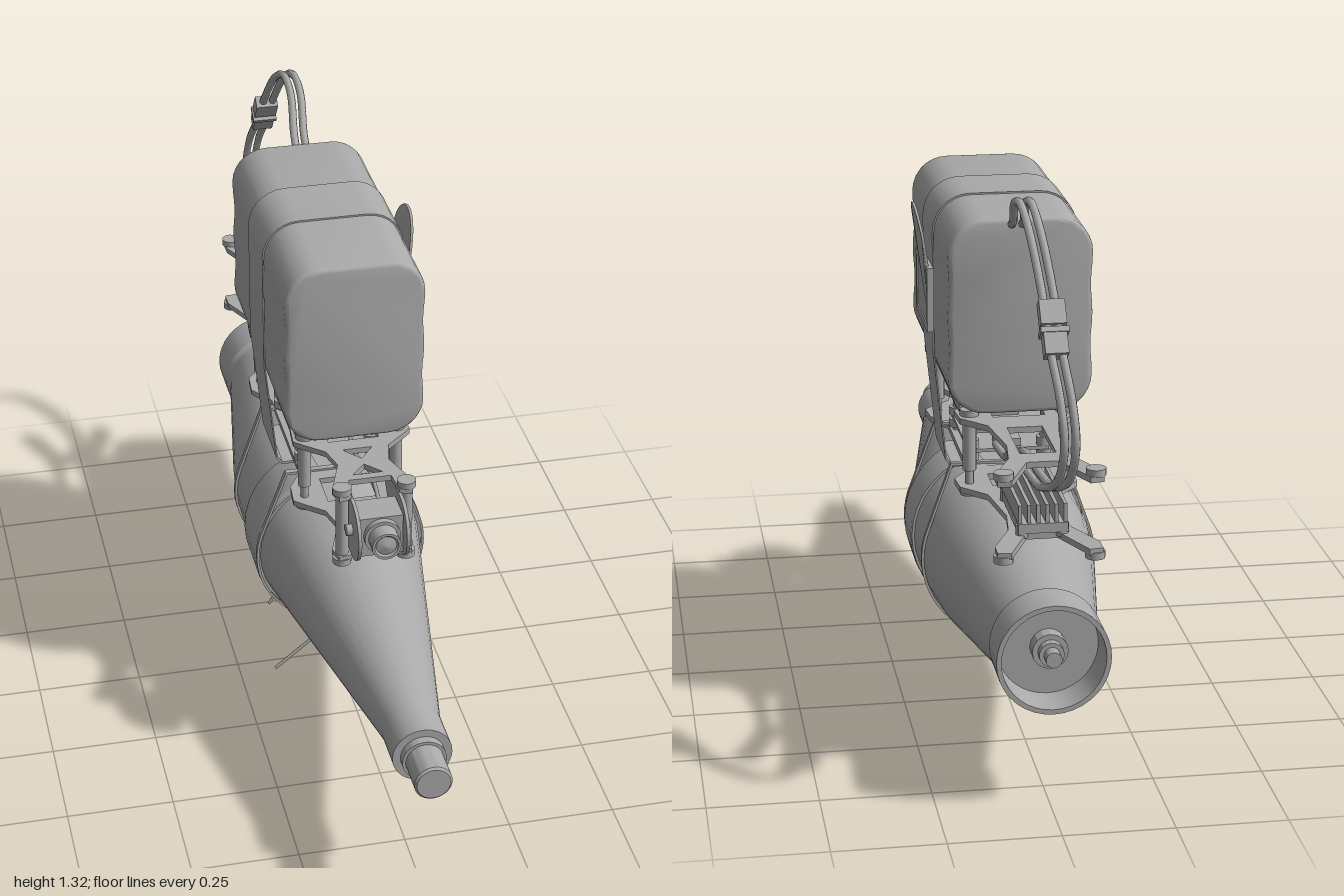
import * as THREE from 'three';
import { toCreasedNormals } from 'three/addons/utils/BufferGeometryUtils.js';

const V2 = (x, y) => new THREE.Vector2(x, y);

export function createModel() {
  const root = new THREE.Group();
  const grey = new THREE.MeshStandardMaterial({ color: 0xaaaaaa });
  grey.name = 'plain grey';

  const add = (name, geo, x = 0, y = 0, z = 0) => {
    const m = new THREE.Mesh(geo, grey);
    m.name = name;
    m.position.set(x, y, z);
    root.add(m);
    return m;
  };
  const box = (name, w, h, d, x, y, z) => add(name, new THREE.BoxGeometry(w, h, d), x, y, z);
  const post = (name, r, y0, y1, x, z, n = 12) =>
    add(name, new THREE.CylinderGeometry(r, r, y1 - y0, n), x, (y0 + y1) / 2, z);
  const lathe = (name, pts, n, y) =>
    add(name, toCreasedNormals(new THREE.LatheGeometry(pts.map(([z, r]) => V2(r, z)), n).rotateX(Math.PI / 2), 0.35), 0, y, 0);
  const tube = (name, pts, r, n = 60) => {
    const curve = new THREE.CatmullRomCurve3(pts.map(p => new THREE.Vector3(...p)));
    return add(name, new THREE.TubeGeometry(curve, n, r, 8));
  };
  // closed band around an outline in the xy plane
  const ring = (name, pts, cy, k, z, width) => {
    const shape = new THREE.Shape(pts.map(p => V2(...p)));
    shape.holes.push(new THREE.Path(pts.map(([x, y]) => V2(x * k, cy + (y - cy) * k))));
    const g = new THREE.ExtrudeGeometry(shape, { depth: width, bevelEnabled: false });
    return add(name, toCreasedNormals(g, 0.5), 0, 0, z);
  };
  const arc = (cx, cy, r, a0, a1, n) => Array.from({ length: n + 1 }, (_, i) => {
    const a = a0 + (a1 - a0) * i / n;
    return [cx + r * Math.cos(a), cy + r * Math.sin(a)];
  });

  // long tapered body with an open cup at the back
  lathe('taperedBody', [
    [-0.80, 0], [-0.80, 0.112], [-0.885, 0.115], [-0.885, 0.126], [-0.78, 0.126], [-0.765, 0.119],
    [-0.745, 0.122], [-0.34, 0.19], [-0.24, 0.2], [-0.09, 0.203], [-0.09, 0.209], [-0.08, 0.211],
    [0.04, 0.211], [0.055, 0.205], [0.055, 0.198], [0.79, 0.068], [0.895, 0.068], [0.895, 0.05],
    [0.915, 0.05], [0.915, 0.043], [0.995, 0.043], [1, 0.038], [1, 0]], 36, 0.36);
  lathe('rearFitting', [[-0.885, 0], [-0.885, 0.018], [-0.855, 0.018], [-0.855, 0.028], [-0.835, 0.028],
    [-0.835, 0.04], [-0.79, 0.04]], 16, 0.36);

  // frame plates, drawn as half outlines (x, z) and mirrored
  const half = [[0.05, 0.37], [0.055, 0.43], [0.085, 0.435], [0.095, 0.40], [0.06, 0.3], [0.075, 0.24], [0.12, 0.2],
    [0.14, 0.18], [0.135, 0.12], [0.1, 0.06], [0.1, -0.28], [0.14, -0.34], [0.135, -0.4], [0.08, -0.46],
    [0.06, -0.6], [0.07, -0.69], [0.115, -0.79], [0.115, -0.83], [0.085, -0.835], [0.035, -0.72]];
  const outline = [...half, ...half.slice().reverse().map(([x, z]) => [-x, z])];
  const holes = [
    [[-0.035, 0.35], [0.035, 0.35], [0, 0.31]], [[-0.035, 0.24], [0.035, 0.24], [0, 0.285]],
    [[-0.06, 0.2], [0.06, 0.2], [0.06, 0.1], [-0.06, 0.1]],
    [[-0.05, 0.05], [0.05, 0.05], [0.065, -0.07], [-0.065, -0.07]],
    [[-0.065, -0.12], [0.065, -0.12], [0.05, -0.26], [-0.05, -0.26]],
    [[-0.06, -0.32], [0.06, -0.32], [0.06, -0.4], [-0.06, -0.4]],
    [[-0.04, -0.48], [0.04, -0.48], [0.04, -0.66], [-0.04, -0.66]]];
  [['lowerPlate', 0.578], ['upperPlate', 0.742]].forEach(([name, y]) => {
    const s = new THREE.Shape(outline.map(([x, z]) => V2(x, -z)));
    s.holes = holes.map(h => new THREE.Path(h.map(([x, z]) => V2(x, -z))));
    add(name, new THREE.ExtrudeGeometry(s, { depth: 0.014, bevelEnabled: false }).rotateX(-Math.PI / 2), 0, y);
  });

  // standoffs, bolts and side plates, mirrored
  for (const s of [-1, 1]) {
    post('frontStandoff', 0.015, 0.59, 0.745, s * 0.075, 0.415);
    for (const z of [0.165, -0.375]) {
      post('middleStandoff', 0.016, 0.625, 0.745, s * 0.11, z);
      post('middleStandoffFoot', 0.01, 0.57, 0.63, s * 0.11, z);
    }
    for (const [x, z] of [[0.075, 0.415], [0.11, 0.165], [0.11, -0.375], [0.1, -0.815]])
      for (const y of [0.566, 0.754]) post('boltHead', 0.022, y, y + 0.016, s * x, z);
    for (const z of [0.015, -0.235]) {
      post('boardBolt', 0.009, 0.57, 0.71, s * 0.085, z);
      for (const y of [0.6, 0.63, 0.675]) post('boardGrommet', 0.018, y, y + 0.02, s * 0.085, z);
    }
    for (const z of [-0.5, -0.72]) post('heatSinkBolt', 0.014, 0.585, 0.615, s * 0.045, z);

    // camera side plate
    const plate = new THREE.Shape([...arc(-0.45, 0.675, 0.072, Math.PI * 1.5, Math.PI * 0.5, 14), [-0.3, 0.742], [-0.3, 0.7], [-0.39, 0.604]]
      .map(([z, y]) => V2(z, y)));
    add('cameraSidePlate', new THREE.ExtrudeGeometry(plate, { depth: 0.008, bevelEnabled: false })
      .rotateY(Math.PI / 2), s * 0.056 - 0.004, 0, 0);
    const bolt = add('cameraBolt', new THREE.CylinderGeometry(0.014, 0.014, 0.02, 10), s * 0.064, 0.675, 0.45);
    bolt.rotation.z = Math.PI / 2;
  }

  // camera
  box('cameraBody', 0.1, 0.1, 0.08, 0, 0.675, 0.45);
  lathe('cameraLens', [[0.48, 0.042], [0.505, 0.042], [0.505, 0.034], [0.543, 0.034], [0.543, 0.028], [0.538, 0.024], [0.545, 0]], 20, 0.68);

  // circuit boards
  box('lowerBoard', 0.19, 0.008, 0.28, 0, 0.625, -0.11);
  box('upperBoard', 0.19, 0.008, 0.28, 0, 0.672, -0.11);
  box('boardChip', 0.08, 0.02, 0.08, 0, 0.686, -0.11);
  box('boardSocket', 0.06, 0.018, 0.05, 0, 0.64, -0.22);

  // finned heat sink
  box('heatSinkBase', 0.11, 0.022, 0.26, 0, 0.608, -0.605);
  for (let i = 0; i < 6; i++) box('heatSinkFin', 0.008, 0.045, 0.25, -0.05 + i * 0.02, 0.638, -0.605);

  // pads between body, frame and battery
  box('bodyMountPad', 0.16, 0.03, 0.3, 0, 0.564, -0.1);
  box('batteryPad', 0.26, 0.022, 0.5, 0, 0.765, -0.1);

  // battery with slightly wavy sides
  const corner = 0.075, cx = 0.155 - corner, top = 1.213 - corner, bottom = 0.78 + corner;
  const wave = Array.from({ length: 13 }, (_, i) => {
    const t = i / 12;
    return [0.155 - 0.004 * (1 - Math.cos(t * Math.PI * 4)) / 2, bottom + (top - bottom) * t];
  });
  const right = [...arc(cx, bottom, corner, -Math.PI / 2, 0, 7).slice(0, -1), ...wave,
    ...arc(cx, top, corner, 0, Math.PI / 2, 7).slice(1)];
  const pack = [...right, ...right.slice().reverse().map(([x, y]) => [-x, y])];
  const packGeo = new THREE.ExtrudeGeometry(new THREE.Shape(pack.map(p => V2(...p))),
    { depth: 0.62, bevelThickness: 0.012, bevelSize: 0.009, bevelSegments: 3 });
  add('battery', toCreasedNormals(packGeo, 0.6), 0, 0, -0.413);

  // battery strap with buckle and loose end
  const strapTop = arc(cx, top, corner + 0.013, 0, Math.PI / 2, 7);
  const strapHalf = [[0.128, 0.568], [0.14, 0.585], [0.168, 0.85], ...strapTop];
  ring('batteryStrap', [...strapHalf, ...strapHalf.slice().reverse().map(([x, y]) => [-x, y])], 0.9, 0.98, -0.19, 0.17);
  const flap = new THREE.Shape([[0.08, 0.9], [0.08, 0.98], [0.08, 1.05], ...arc(0, 1.1, 0.08, 0, Math.PI, 14).map(([u, y]) =>
    [u, 1.1 + (y - 1.1) * 1.1]), [-0.08, 1.05], [-0.08, 0.98], [-0.08, 0.9]].map(p => V2(...p)));
  const flapGeo = new THREE.ExtrudeGeometry(flap, { depth: 0.006, bevelEnabled: false }).rotateY(Math.PI / 2);
  const fp = flapGeo.attributes.position;
  for (let i = 0; i < fp.count; i++) fp.setX(i, fp.getX(i) + 0.03 * Math.max(0, (fp.getY(i) - 0.95) / 0.24) ** 1.6);
  flapGeo.computeVertexNormals();
  add('strapLooseEnd', flapGeo, 0.168, 0, -0.105);
  for (const y of [0.912, 1.048]) box('buckleBar', 0.016, 0.016, 0.2, 0.175, y, -0.105);
  for (const z of [-0.2, -0.01]) box('buckleSide', 0.016, 0.15, 0.014, 0.175, 0.98, z);
  box('buckleFace', 0.008, 0.13, 0.18, 0.176, 0.98, -0.105);

  // cable ties round body and frame, with loose tails
  for (const [z, r] of [[0.052, 0.209], [-0.248, 0.206]]) {
    const loop = [...arc(0, 0.36, r, 0.3, -Math.PI - 0.3, 36), [-0.135, 0.597], [0.135, 0.597]];
    ring('cableTie', loop, 0.37, 0.97, z, 0.014);
    box('cableTieHead', 0.03, 0.02, 0.024, 0.02, 0.152, z + 0.007);
  }
  tube('frontTieTail', [[0, 0.155, 0.06], [-0.08, 0.09, 0.06], [-0.165, 0.02, 0.06]], 0.004, 12);
  tube('rearTieTail', [[0, 0.155, -0.24], [-0.05, 0.105, -0.24], [-0.09, 0.055, -0.24], [-0.122, 0.003, -0.24]], 0.004, 16);

  // paired power leads with an inline connector
  const lead = [[0, 1.205, -0.41], [0.005, 1.23, -0.47], [0.015, 1.29, -0.55], [0.015, 1.306, -0.63], [0.01, 1.265, -0.72],
    [0, 1.16, -0.82], [-0.005, 1.06, -0.9], [-0.015, 0.97, -0.965], [-0.02, 0.88, -0.988], [-0.015, 0.79, -0.94],
    [0, 0.737, -0.83], [0.005, 0.72, -0.7], [0.01, 0.706, -0.5], [0.01, 0.66, -0.4], [0.01, 0.64, -0.25]];
  for (const s of [-1, 1]) tube('powerLead', lead.map(([x, y, z]) => [x + 0.008 + s * 0.012, y, z]), 0.0095, 90);
  [[0.055, 0.032, 0.055, 1.125, -0.848], [0.06, 0.042, 0.012, 1.092, -0.873], [0.05, 0.036, 0.05, 1.07, -0.891]].forEach(([w, h, d, y, z]) => {
    box('leadConnector', w, h, d, 0.004, y, z).rotation.x = -0.9;
  });

  // signal wire from camera to boards
  tube('signalWire', [[0.02, 0.68, 0.41], [0.03, 0.69, 0.25], [0.02, 0.67, 0.12], [0.03, 0.68, 0]], 0.005, 24);
  return root;
}
